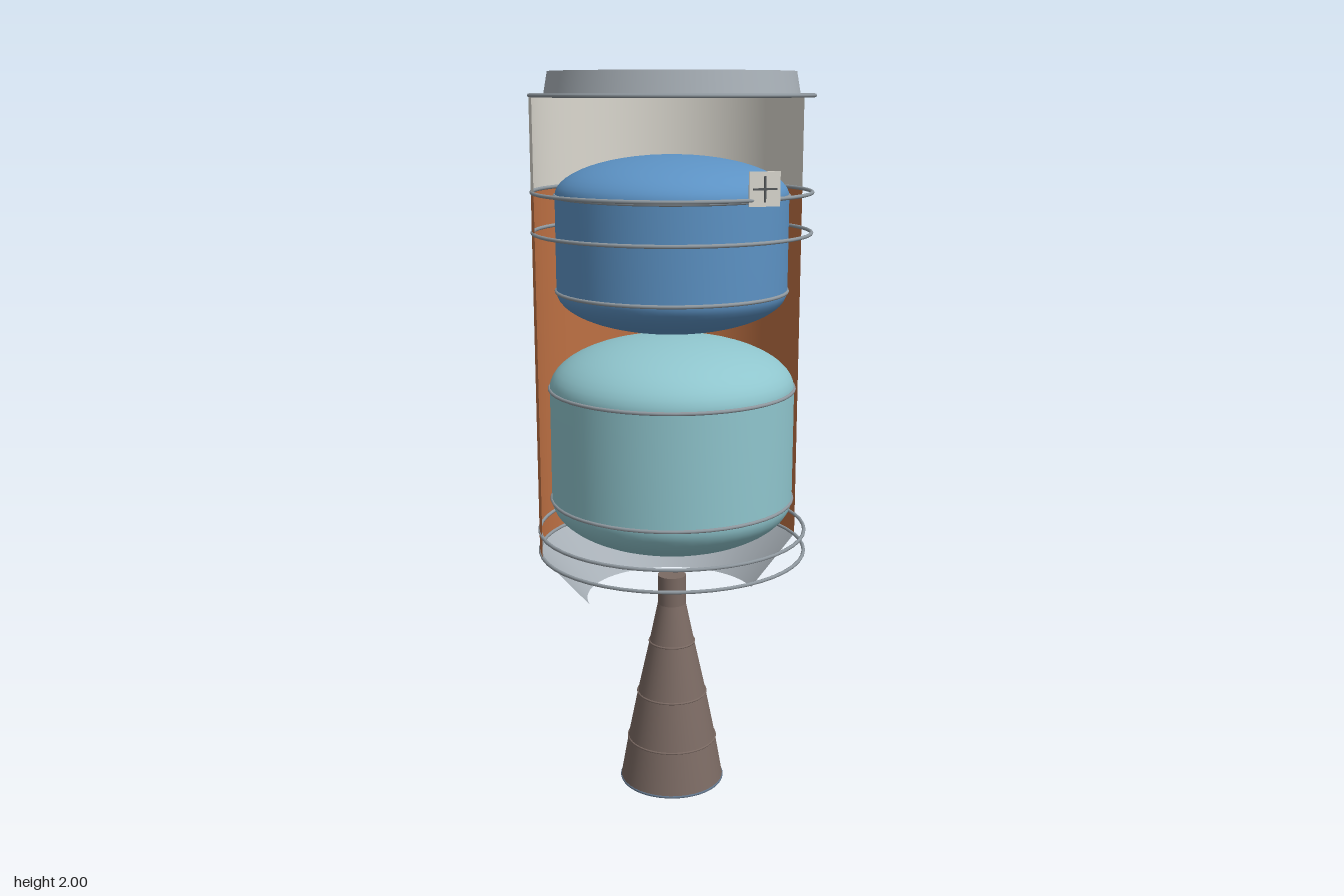
import * as THREE from 'three';

const mat = (name, color, side = THREE.FrontSide) => {
  const m = new THREE.MeshStandardMaterial({ color, side });
  m.name = name;
  return m;
};

export function createModel() {
  const model = new THREE.Group();
  const orange = mat('orange insulation', 0xbd7043, THREE.DoubleSide);
  const white = mat('off white', 0xdbd8cf, THREE.DoubleSide);
  const grey = mat('light grey metal', 0xa8b0b7, THREE.DoubleSide);
  const steel = mat('ring steel', 0x8f989f);
  const blue = mat('blue tank', 0x5c92c4);
  const teal = mat('teal tank', 0x8fc5cd);
  const brown = mat('nozzle brown', 0x7b6a63, THREE.DoubleSide);
  const rimBlue = mat('rim blue grey', 0x61748a);
  const dark = mat('dark grey', 0x55585a);

  const add = (name, geometry, material, x = 0, y = 0, z = 0, parent = model) => {
    const mesh = new THREE.Mesh(geometry, material);
    mesh.name = name;
    mesh.position.set(x, y, z);
    parent.add(mesh);
    return mesh;
  };
  const ring = (name, r, y, tube, material = steel) =>
    add(name, new THREE.TorusGeometry(r, tube, 8, 48).rotateX(Math.PI / 2), material, 0, y);

  // Cutaway shell: only the rear half of each section
  const halfShell = (name, y0, y1, r0, r1, material) =>
    add(name, new THREE.CylinderGeometry(r1, r0, y1 - y0, 32, 1, true, Math.PI / 2, Math.PI),
      material, 0, (y0 + y1) / 2);
  halfShell('lowerSkirt', 0.56, 0.71, 0.24, 0.37, grey);
  halfShell('mainShell', 0.71, 1.69, 0.37, 0.37, orange);
  halfShell('upperShell', 1.69, 1.94, 0.37, 0.37, white);

  // Full hoops around the shell
  for (const y of [0.71, 0.77, 1.59, 1.695, 1.94]) ring('shellHoop', 0.369, y, 0.005);

  // Top cap
  add('topCap', new THREE.CylinderGeometry(0.322, 0.333, 0.06, 48), grey, 0, 1.97);

  // Tanks: straight wall with elliptical domes
  const tank = (name, r, bottom, low, high, top, material) => {
    const pts = [];
    const n = 14;
    for (let i = 0; i <= n; i++) {
      const a = (i / n) * Math.PI / 2;
      pts.push(new THREE.Vector2(r * Math.sin(a), low - (low - bottom) * Math.cos(a)));
    }
    for (let i = 0; i <= n; i++) {
      const a = (i / n) * Math.PI / 2;
      pts.push(new THREE.Vector2(r * Math.cos(a), high + (top - high) * Math.sin(a)));
    }
    pts[0].x = pts[pts.length - 1].x = 0;
    add(name, new THREE.LatheGeometry(pts, 48), material);
    for (const y of [low, high]) ring(name + 'Band', r, y, 0.005);
  };
  tank('upperTank', 0.309, 1.325, 1.435, 1.685, 1.79, blue);
  tank('lowerTank', 0.333, 0.72, 0.86, 1.17, 1.31, teal);

  // Engine: closed neck and open bell
  add('engineNeck', new THREE.CylinderGeometry(0.04, 0.04, 0.09, 32), brown, 0, 0.58);
  const bell = [[0.148, 0.005], [0.126, 0.13], [0.098, 0.27], [0.064, 0.425], [0.04, 0.54]]
    .map(([r, y]) => new THREE.Vector2(r, y));
  add('engineBell', new THREE.LatheGeometry(bell, 40), brown);
  for (const p of bell.slice(1, 4)) ring('bellRib', p.x, p.y, 0.003, brown);
  ring('bellRim', 0.146, 0.005, 0.004, rimBlue);

  // Small front panel with a raised cross
  const panel = new THREE.Group();
  panel.name = 'frontPanel';
  panel.position.set(0.125, 1.722, 0.358);
  model.add(panel);
  add('panelPlate', new THREE.BoxGeometry(0.08, 0.084, 0.005), white, 0, 0, 0, panel);
  add('crossBar', new THREE.BoxGeometry(0.062, 0.005, 0.005), dark, 0, 0, 0.003, panel);
  add('crossPost', new THREE.BoxGeometry(0.005, 0.062, 0.005), dark, 0, 0, 0.003, panel);

  return model;
}
